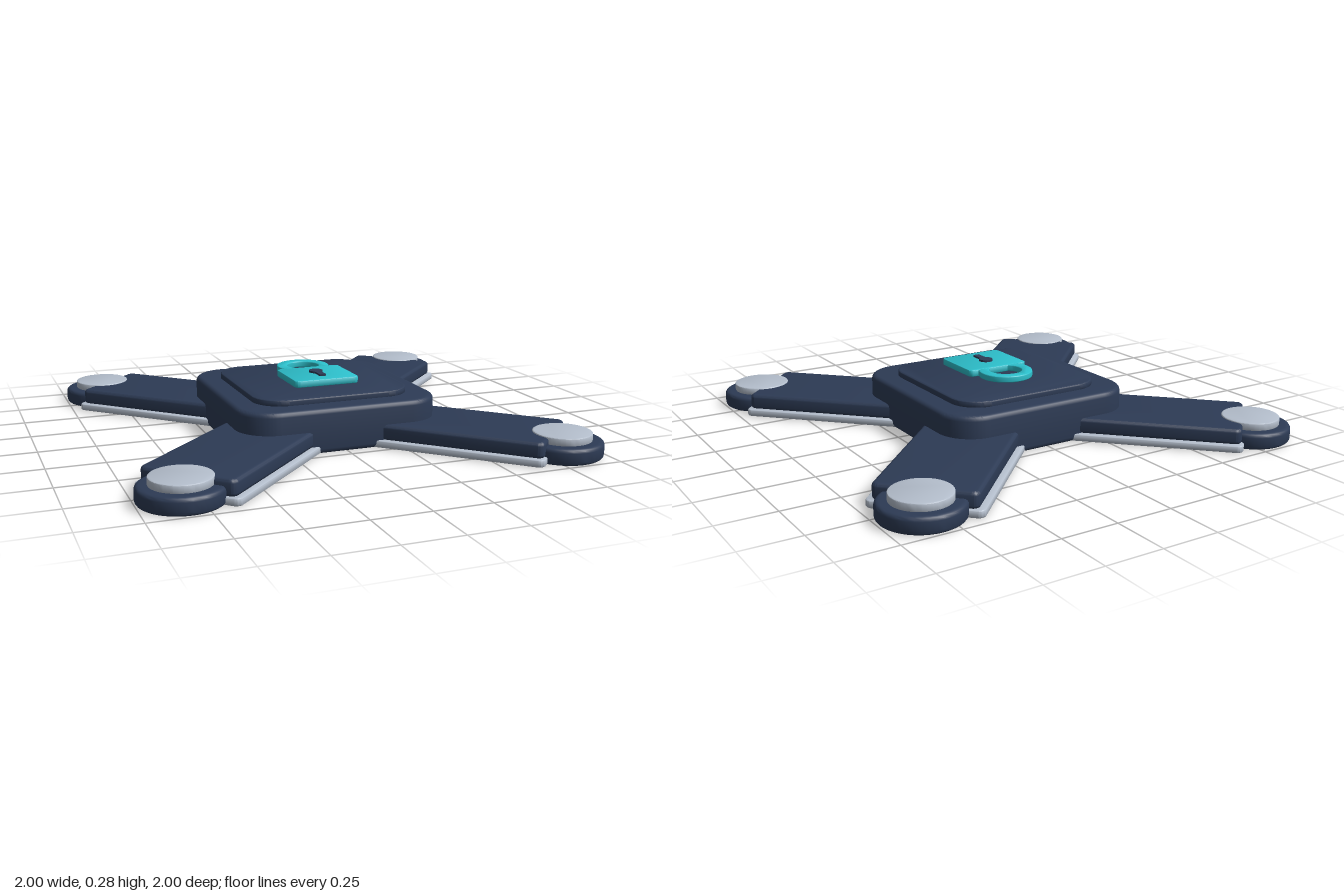
import * as THREE from 'three';
import { toCreasedNormals } from 'three/addons/utils/BufferGeometryUtils.js';

const navy = new THREE.MeshStandardMaterial({ name: 'navy', color: 0x2d3b55 });
const silver = new THREE.MeshStandardMaterial({ name: 'silver', color: 0xb4becc });
const teal = new THREE.MeshStandardMaterial({ name: 'teal', color: 0x2dc0cc });

// Rounded rectangle outline; shape y points to -z once laid flat
function roundRect(x0, y0, x1, y1, r) {
  const s = new THREE.Shape();
  s.absarc(x1 - r, y1 - r, r, 0, Math.PI / 2);
  s.absarc(x0 + r, y1 - r, r, Math.PI / 2, Math.PI);
  s.absarc(x0 + r, y0 + r, r, Math.PI, Math.PI * 1.5);
  s.absarc(x1 - r, y0 + r, r, Math.PI * 1.5, Math.PI * 2);
  s.closePath();
  return s;
}

function disc(r, x = 0, y = 0) {
  const s = new THREE.Shape();
  s.absarc(x, y, r, 0, Math.PI * 2);
  return s;
}

// Flat slab between two heights with softened edges
function slab(name, shape, y0, y1, bevel, material) {
  const geo = new THREE.ExtrudeGeometry(shape, {
    depth: y1 - y0 - 2 * bevel,
    bevelEnabled: bevel > 0,
    bevelThickness: bevel,
    bevelSize: bevel,
    bevelOffset: -bevel,
    bevelSegments: 4,
    curveSegments: 20,
  });
  geo.rotateX(-Math.PI / 2);
  geo.translate(0, y0 + bevel, 0);
  const mesh = new THREE.Mesh(toCreasedNormals(geo, 0.6), material);
  mesh.name = name;
  return mesh;
}

export function createModel() {
  const model = new THREE.Group();
  model.name = 'lockHub';

  // Central housing and raised lid
  model.add(slab('housing', roundRect(-0.46, -0.46, 0.46, 0.46, 0.16), 0, 0.197, 0.022, navy));
  model.add(slab('lid', roundRect(-0.36, -0.36, 0.36, 0.36, 0.13), 0.19, 0.223, 0.008, navy));

  // Four diagonal arms with under-strips, feet and caps
  const reach = 0.825 * Math.SQRT2;
  for (let i = 0; i < 4; i++) {
    const arm = new THREE.Group();
    arm.name = 'arm' + (i + 1);
    arm.add(slab('armBeam', roundRect(0.1, -0.21, 1.135, 0.21, 0.03), 0.03, 0.1, 0.016, navy));
    arm.add(slab('armUnderStrip', roundRect(0.2, -0.233, 1.145, 0.233, 0.03), 0.002, 0.034, 0.008, silver));
    arm.add(slab('foot', disc(0.175, reach), 0, 0.073, 0.018, navy));
    arm.add(slab('footCap', disc(0.126, reach), 0.07, 0.105, 0.005, silver));
    arm.rotation.y = Math.PI / 4 + i * Math.PI / 2;
    model.add(arm);
  }

  // Padlock emblem floating just above the lid
  const padlock = new THREE.Group();
  padlock.name = 'padlock';
  padlock.add(slab('padlockBody', roundRect(-0.152, -0.217, 0.152, 0.047, 0.022), 0.235, 0.266, 0.005, teal));
  const ring = disc(0.122, 0, 0.103);
  ring.holes.push(disc(0.074, 0, 0.103));
  padlock.add(slab('padlockShackle', ring, 0.236, 0.265, 0.005, teal));

  // Keyhole: round top with a slot below
  padlock.add(slab('keyholeRound', disc(0.031, 0, -0.068), 0.266, 0.275, 0, navy));
  padlock.add(slab('keyholeSlot', roundRect(-0.015, -0.157, 0.015, -0.06, 0.004), 0.266, 0.2745, 0, navy));
  model.add(padlock);

  return model;
}
